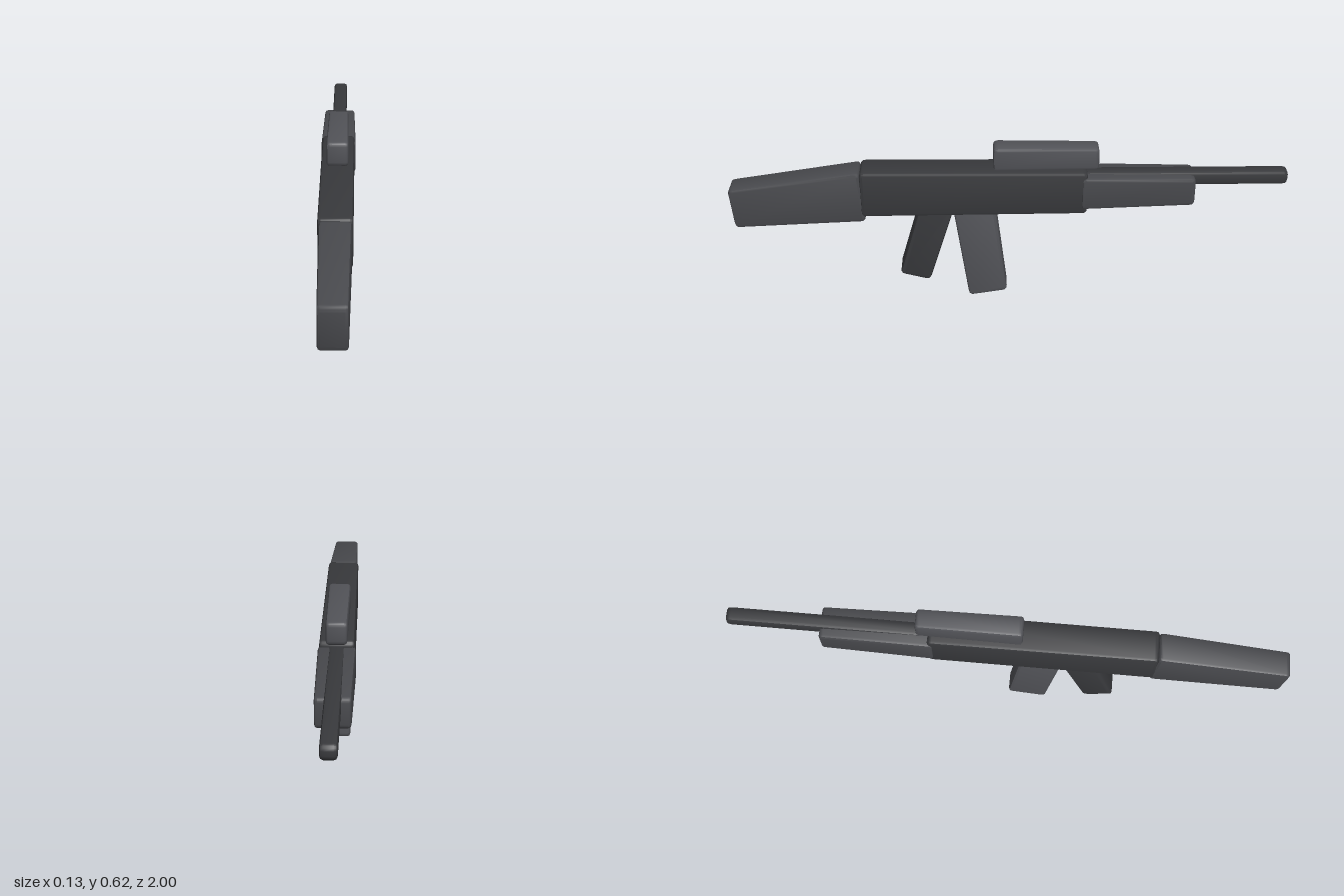
import * as THREE from 'three';
import { toCreasedNormals } from 'three/addons/utils/BufferGeometryUtils.js';

const dark = new THREE.MeshStandardMaterial({ color: 0x38393c });
const mid = new THREE.MeshStandardMaterial({ color: 0x48494d });
const light = new THREE.MeshStandardMaterial({ color: 0x525358 });

// Closed side outline from [z, y] corners, each corner rounded by r.
function roundedOutline(corners, r) {
  const pts = corners.map(([z, y]) => new THREE.Vector2(-z, y));
  const toward = (a, b) => a.clone().add(b.clone().sub(a).setLength(r));
  const shape = new THREE.Shape();
  pts.forEach((p, i) => {
    const start = toward(p, pts[(i + pts.length - 1) % pts.length]);
    const end = toward(p, pts[(i + 1) % pts.length]);
    if (i === 0) shape.moveTo(start.x, start.y);
    else shape.lineTo(start.x, start.y);
    shape.quadraticCurveTo(p.x, p.y, end.x, end.y);
  });
  shape.closePath();
  return shape;
}

// Soft-edged block: side outline, half width at its front (+z) and back ends.
function block(name, material, corners, frontHalf, backHalf = frontHalf, bevel = 0.011) {
  const half = Math.max(frontHalf, backHalf);
  const geo = new THREE.ExtrudeGeometry(roundedOutline(corners, bevel * 1.5), {
    depth: 2 * (half - bevel), curveSegments: 3,
    bevelSize: bevel, bevelThickness: bevel, bevelOffset: -bevel, bevelSegments: 2,
  });
  geo.translate(0, 0, bevel - half).rotateY(Math.PI / 2);

  // Taper the width along the length
  geo.computeBoundingBox();
  const { min, max } = geo.boundingBox;
  const pos = geo.attributes.position;
  for (let i = 0; i < pos.count; i++) {
    const t = (pos.getZ(i) - min.z) / (max.z - min.z);
    pos.setX(i, pos.getX(i) * THREE.MathUtils.lerp(backHalf, frontHalf, t) / half);
  }
  const mesh = new THREE.Mesh(toCreasedNormals(geo, 0.7), material);
  mesh.name = name;
  return mesh;
}

export function createModel() {
  const model = new THREE.Group();
  model.name = 'model';
  model.add(
    // Main body
    block('receiver', dark, [[0.53, 0.36], [0.53, 0.537], [-0.28, 0.53], [-0.28, 0.364]], 0.058, 0.06),
    // Shoulder stock, dropping toward its end
    block('stock', mid, [[0.987, 0.313], [1, 0.467], [0.53, 0.535], [0.515, 0.337]], 0.047, 0.054),
    // Forward grip block and the barrel sunk into its top
    block('handguard', mid, [[-0.26, 0.384], [-0.26, 0.51], [-0.665, 0.502], [-0.665, 0.394]], 0.065, 0.059),
    block('barrel', dark, [[-0.24, 0.46], [-0.24, 0.514], [-1, 0.511], [-1, 0.459]], 0.027, 0.027, 0.012),
    // Sight on top
    block('sight', light, [[0.055, 0.53], [0.055, 0.621], [-0.32, 0.615], [-0.32, 0.532]], 0.039, 0.036),
    // Slanted parts below
    block('grip', dark, [[0.402, 0.107], [0.32, 0.39], [0.195, 0.39], [0.292, 0.077]], 0.047),
    block('magazine', light, [[0.148, 0], [0.203, 0.39], [0.05, 0.39], [0.006, 0.022]], 0.04),
  );
  return model;
}
